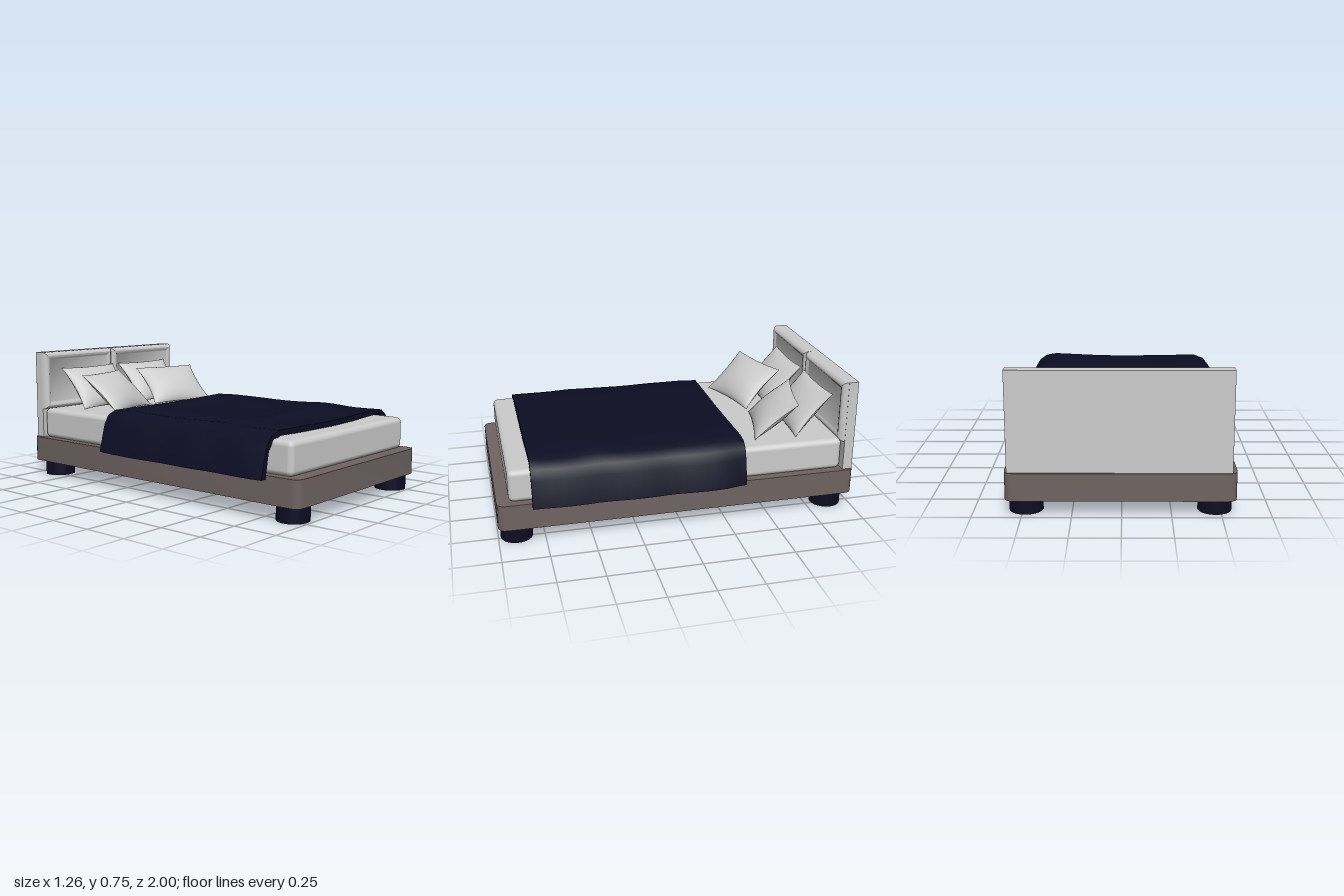
import * as THREE from 'three';
import { toCreasedNormals } from 'three/addons/utils/BufferGeometryUtils.js';
import { RoundedBoxGeometry } from 'three/addons/geometries/RoundedBoxGeometry.js';

// Skins a list of closed loops (equal point counts); capLast closes the final loop with a fan
function skin(loops, crease = 0.6, capLast = false) {
  const n = loops[0].length, pos = loops.flat(2), idx = [];
  for (let j = 0; j < loops.length - 1; j++) {
    for (let i = 0; i < n; i++) {
      const a = j * n + i, b = j * n + (i + 1) % n;
      idx.push(a, b, b + n, a, b + n, a + n);
    }
  }
  const last = (loops.length - 1) * n;
  if (capLast) for (let i = 1; i < n - 1; i++) idx.push(last, last + i, last + i + 1);
  const g = new THREE.BufferGeometry();
  g.setAttribute('position', new THREE.Float32BufferAttribute(pos, 3));
  g.setIndex(idx);
  return toCreasedNormals(g, crease);
}

// Plank with rounded vertical corners, lying flat
function plank(w, d, h, r) {
  const x = w / 2, z = d / 2, s = new THREE.Shape();
  s.moveTo(-x + r, -z).lineTo(x - r, -z).quadraticCurveTo(x, -z, x, -z + r);
  s.lineTo(x, z - r).quadraticCurveTo(x, z, x - r, z);
  s.lineTo(-x + r, z).quadraticCurveTo(-x, z, -x, z - r);
  s.lineTo(-x, -z + r).quadraticCurveTo(-x, -z, -x + r, -z);
  const g = new THREE.ExtrudeGeometry(s, { depth: h, bevelEnabled: false, curveSegments: 4 });
  return toCreasedNormals(g.rotateX(-Math.PI / 2), 0.7);
}

// Padded headboard panel: rolled rim around a slightly sunken field
function panel(x0, x1, y0, y1) {
  const steps = [[0, -0.94], [0.002, -0.922], [0.01, -0.908], [0.022, -0.9], [0.034, -0.903], [0.045, -0.912]];
  const loops = steps.map(([d, z]) => [
    [x0 + d, y0 + d, z], [x1 - d, y0 + d, z], [x1 - d, y1 - d, z], [x0 + d, y1 - d, z],
  ]);
  return skin(loops, 0.7, true);
}

// Cushion with pinched corners and inward-curving edges
function cushion(w, h, t) {
  const N = 14, pos = [], idx = [];
  for (const side of [1, -1]) {
    const base = pos.length / 3;
    for (let j = 0; j <= N; j++) {
      for (let i = 0; i <= N; i++) {
        const u = Math.sin((i / N - 0.5) * Math.PI), v = Math.sin((j / N - 0.5) * Math.PI);
        const a = 1 - u * u, b = 1 - v * v;
        pos.push(w / 2 * u * (1 - 0.1 * b), h / 2 * v * (1 - 0.07 * a),
          side * t * Math.pow(Math.max(a * b, 0), 0.6));
        if (i < N && j < N) {
          const p = base + j * (N + 1) + i, q = p + N + 1;
          if (side > 0) idx.push(p, p + 1, q + 1, p, q + 1, q);
          else idx.push(p, q + 1, p + 1, p, q, q + 1);
        }
      }
    }
  }
  const g = new THREE.BufferGeometry();
  g.setAttribute('position', new THREE.Float32BufferAttribute(pos, 3));
  g.setIndex(idx);
  g.computeVertexNormals();
  return g;
}

// Draped blanket: outer and inner cross-section swept along z with soft ripples
function blanket() {
  const outer = [[-0.628, 0.212], [-0.585, 0.37], [-0.545, 0.42], [-0.48, 0.442], [-0.25, 0.44], [0, 0.438],
    [0.2, 0.443], [0.45, 0.452], [0.515, 0.442], [0.565, 0.41], [0.59, 0.36], [0.622, 0.212]];
  const inner = [[0.59, 0.212], [0.57, 0.34], [0.548, 0.395], [0.5, 0.416], [0.45, 0.42], [0.2, 0.412],
    [0, 0.409], [-0.25, 0.409], [-0.47, 0.412], [-0.53, 0.395], [-0.565, 0.35], [-0.592, 0.212]];
  const section = [...outer, ...inner], n = section.length, loops = [], N = 20;
  for (let k = 0; k <= N; k++) {
    const z = -0.36 + 1.175 * k / N;
    const pull = 0.02 * Math.max(0, 1 - k / 2);
    const lift = 0.008 * Math.exp(-(((z - 0.48) / 0.1) ** 2)) + 0.004 * Math.exp(-(((z + 0.25) / 0.08) ** 2));
    loops.push(section.map(([x, y]) => {
      const side = THREE.MathUtils.smoothstep(Math.abs(x), 0.5, 0.6);
      return [x - Math.sign(x) * side * (pull + 0.004 * Math.sin(z * 17 + x)),
        y + (1 - side) * (lift + 0.002 * Math.sin(z * 13 + x * 6)), z];
    }));
  }
  const body = skin(loops.map((l) => l.slice().reverse()), 0.8);
  const ends = [loops[0], loops[N]].map((l) => {
    const pos = [];
    for (let i = 0; i < n / 2 - 1; i++) {
      const [a, b, c, d] = [l[i], l[i + 1], l[n - 2 - i], l[n - 1 - i]];
      pos.push(...a, ...b, ...c, ...a, ...c, ...d);
    }
    const g = new THREE.BufferGeometry();
    g.setAttribute('position', new THREE.Float32BufferAttribute(pos, 3));
    g.computeVertexNormals();
    return g;
  });
  return [body, ...ends];
}

export function createModel() {
  const bed = new THREE.Group();
  bed.name = 'bed';
  const linen = new THREE.MeshStandardMaterial({ color: 0xcccccc });
  linen.name = 'light grey fabric';
  const wood = new THREE.MeshStandardMaterial({ color: 0x6f6462 });
  wood.name = 'taupe frame';
  const navy = new THREE.MeshStandardMaterial({ color: 0x0d0d24, side: THREE.DoubleSide });
  navy.name = 'dark navy';

  const add = (name, geometry, material, x = 0, y = 0, z = 0, parent = bed) => {
    const m = new THREE.Mesh(geometry, material);
    m.name = name;
    m.position.set(x, y, z);
    parent.add(m);
    return m;
  };

  // Base and feet
  add('bedFrame', plank(1.16, 2, 0.145, 0.05), wood, 0.005, 0.085, 0);
  for (const x of [-0.472, 0.485]) {
    for (const z of [0.9, -0.875]) {
      add('foot', new THREE.CylinderGeometry(0.087, 0.087, 0.09, 24), navy, x, 0.045, z);
    }
  }

  // Mattress
  add('mattress', new RoundedBoxGeometry(1.09, 0.18, 1.865, 4, 0.03), linen, 0.005, 0.317, 0.0025);

  // Headboard: flat back with two padded panels
  const headboard = new THREE.Group();
  headboard.name = 'headboard';
  bed.add(headboard);
  add('headboardBack', new THREE.BoxGeometry(1.118, 0.52, 0.055), linen, 0.01, 0.489, -0.9625, headboard);
  add('rightHeadboardPanel', panel(-0.55, 0.008, 0.4, 0.75), linen, 0, 0, 0, headboard);
  add('leftHeadboardPanel', panel(0.008, 0.568, 0.4, 0.75), linen, 0, 0, 0, headboard);

  // Pillows: [name, x, y, z, turn, lean]
  const pillows = [
    ['rightBackPillow', -0.22, 0.53, -0.785, 0, 0.71],
    ['leftBackPillow', 0.255, 0.53, -0.785, 0, 0.71],
    ['rightFrontPillow', -0.237, 0.515, -0.6, 0.28, 0.84],
    ['leftFrontPillow', 0.275, 0.515, -0.61, -0.24, 0.84],
  ];
  const pillowShape = cushion(0.43, 0.315, 0.06);
  for (const [name, x, y, z, turn, lean] of pillows) {
    add(name, pillowShape, linen, x, y, z).rotation.set(-lean, turn, 0, 'YXZ');
  }

  // Blanket
  const [body, ...ends] = blanket();
  add('blanket', body, navy);
  ends.forEach((g) => add('blanketEdge', g, navy));
  return bed;
}
